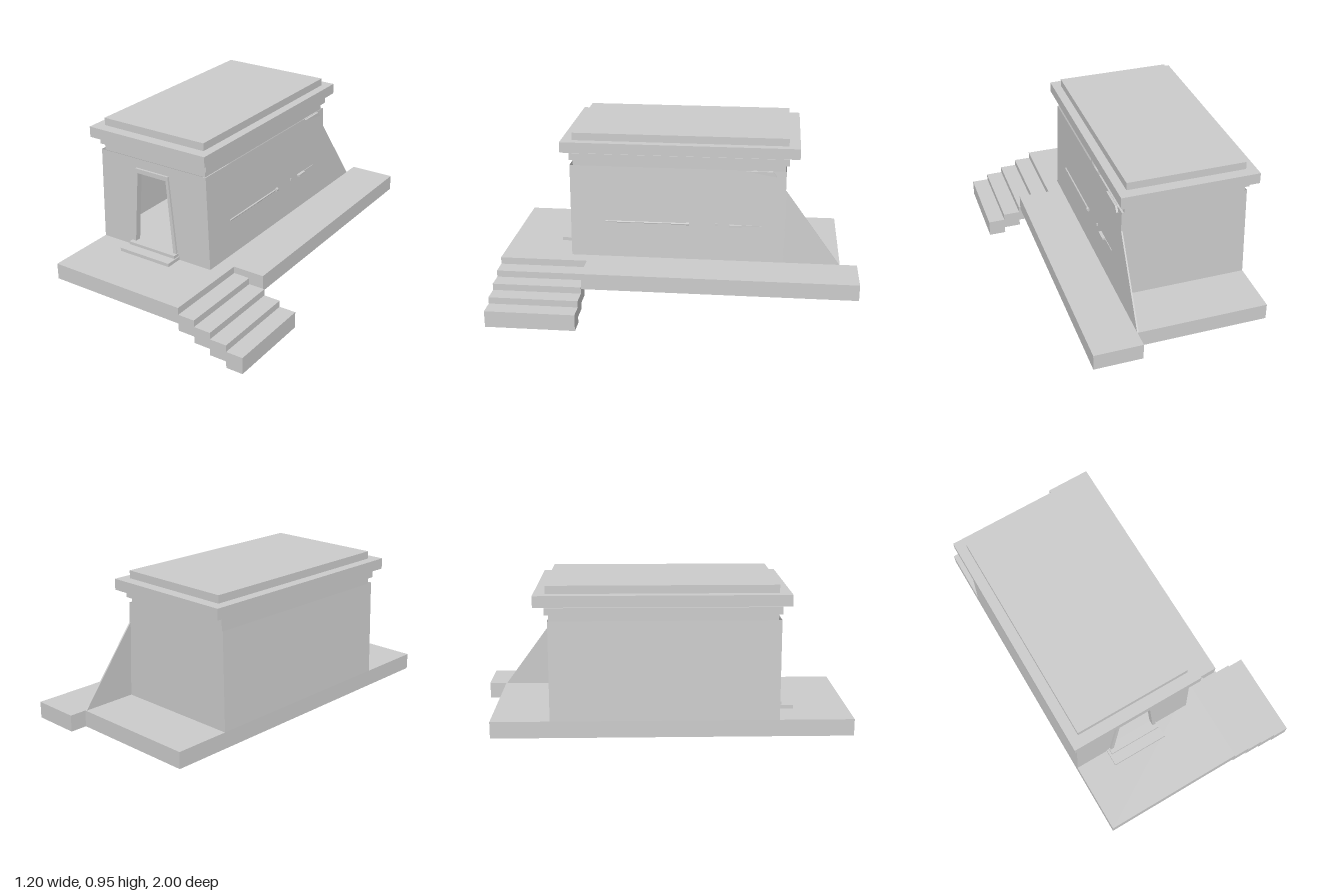
import * as THREE from 'three';

const material = new THREE.MeshStandardMaterial({ color: 0xcccccc, flatShading: true, side: THREE.DoubleSide });

export function createModel() {
  const model = new THREE.Group();
  model.name = 'temple';

  const add = (name, geometry, parent = model) => {
    const mesh = new THREE.Mesh(geometry, material);
    mesh.name = name;
    parent.add(mesh);
    return mesh;
  };
  // Box given by its limits on each axis
  const block = (name, x0, x1, y0, y1, z0, z1) => {
    const mesh = add(name, new THREE.BoxGeometry(x1 - x0, y1 - y0, z1 - z0));
    mesh.position.set((x0 + x1) / 2, (y0 + y1) / 2, (z0 + z1) / 2);
    return mesh;
  };
  const outline = (points) => points.map(([x, y]) => new THREE.Vector2(x, y));
  const extrude = (shape, depth) => new THREE.ExtrudeGeometry(shape, { depth, bevelEnabled: false });
  // Flat four-cornered panel, counter-clockwise from outside
  const panel = (name, corners) => {
    const geometry = new THREE.BufferGeometry();
    geometry.setAttribute('position', new THREE.Float32BufferAttribute(corners.flat(), 3));
    geometry.setIndex([0, 1, 2, 0, 2, 3]);
    geometry.computeVertexNormals();
    return add(name, geometry);
  };

  // Platform with a notch for the stairs and a walkway running past the back
  const plan = outline([
    [-0.577, -0.987], [0.225, -0.987], [0.225, -0.497], [0.406, -0.497],
    [0.404, 1.002], [0.14, 1.002], [0.14, 0.908], [-0.577, 0.908],
  ]);
  const platform = add('platform', extrude(new THREE.Shape(plan), 0.09).rotateX(-Math.PI / 2));
  platform.position.y = 0.155;

  // Stairs descending sideways
  const stepX = [0.225, 0.32, 0.415, 0.51, 0.605];
  for (let i = 0; i < 4; i++) {
    const top = 0.206 - i * 0.037;
    block('step', stepX[i], stepX[i + 1], Math.max(0, top - 0.0925), top, 0.497, 0.987);
  }

  // Hollow hall: tapered walls with a doorway cut in the front
  const [y0, y1, zf, zb] = [0.245, 0.772, 0.596, -0.597];
  const [l0, l1, r0, r1] = [-0.577, -0.562, 0.141, 0.123];
  const doorway = outline([[-0.347, 0.28], [-0.092, 0.28], [-0.127, 0.695], [-0.312, 0.695]]);
  const front = new THREE.Shape(outline([[l0, y0], [r0, y0], [r1, y1], [l1, y1]]));
  front.holes.push(new THREE.Path(doorway));
  add('frontWall', new THREE.ShapeGeometry(front)).position.z = zf;
  panel('rightWall', [[r0, y0, zf], [r0, y0, zb], [r1, y1, zb], [r1, y1, zf]]);
  panel('leftWall', [[l0, y0, zb], [l0, y0, zf], [l1, y1, zf], [l1, y1, zb]]);
  panel('backWall', [[r0, y0, zb], [l0, y0, zb], [l1, y1, zb], [r1, y1, zb]]);

  // Door frame and threshold
  const frame = new THREE.Shape(outline([[-0.367, 0.28], [-0.072, 0.28], [-0.113, 0.72], [-0.327, 0.72]]));
  frame.holes.push(new THREE.Path(doorway));
  add('doorFrame', extrude(frame, 0.035)).position.z = 0.573;
  block('lowerThreshold', -0.387, -0.061, 0.245, 0.264, 0.58, 0.692);
  block('upperThreshold', -0.373, -0.068, 0.264, 0.281, 0.58, 0.632);

  // Stacked mouldings and roof
  block('lowerMoulding', -0.552, 0.108, 0.765, 0.803, -0.592, 0.58);
  block('upperMoulding', -0.567, 0.127, 0.803, 0.841, -0.612, 0.598);
  block('recess', -0.555, 0.115, 0.841, 0.85, -0.6, 0.586);
  block('cornice', -0.596, 0.151, 0.85, 0.909, -0.667, 0.643);
  block('roofCap', -0.542, 0.103, 0.909, 0.951, -0.606, 0.582);

  // Thin sloping buttress behind the right wall
  const fin = new THREE.Shape(outline([[0.595, y0], [0.903, y0], [0.6, 0.66], [0.595, 0.66]]));
  const finGeometry = extrude(fin, 0.008).rotateY(Math.PI / 2).translate(0.133, 0, 0);
  const p = finGeometry.attributes.position;
  for (let i = 0; i < p.count; i++) p.setX(i, p.getX(i) - (p.getY(i) - y0) * 0.034);
  finGeometry.computeVertexNormals();
  add('buttress', finGeometry);

  // Small fittings on the right wall
  const rod = add('rail', new THREE.CylinderGeometry(0.005, 0.005, 0.46, 8).rotateX(Math.PI / 2));
  rod.position.set(0.136, 0.453, 0.17);
  const knob = add('railEnd', new THREE.CylinderGeometry(0.01, 0.01, 0.016, 8).rotateX(Math.PI / 2));
  knob.position.set(0.138, 0.454, -0.06);
  block('peg', 0.13, 0.14, 0.448, 0.462, -0.226, -0.214);
  block('bracket', 0.128, 0.151, 0.448, 0.458, -0.36, -0.29);
  block('bracketStrip', 0.13, 0.137, 0.451, 0.456, -0.47, -0.36);
  const sliver = new THREE.Shape(outline([[0.38, 0.77], [0.545, 0.742], [0.525, 0.77]]));
  add('eaveChip', extrude(sliver, 0.02).rotateY(Math.PI / 2)).position.x = 0.115;

  // The whole building sits very slightly turned
  model.rotation.y = -0.0135;
  const root = new THREE.Group();
  root.name = 'model';
  root.add(model);
  return root;
}
